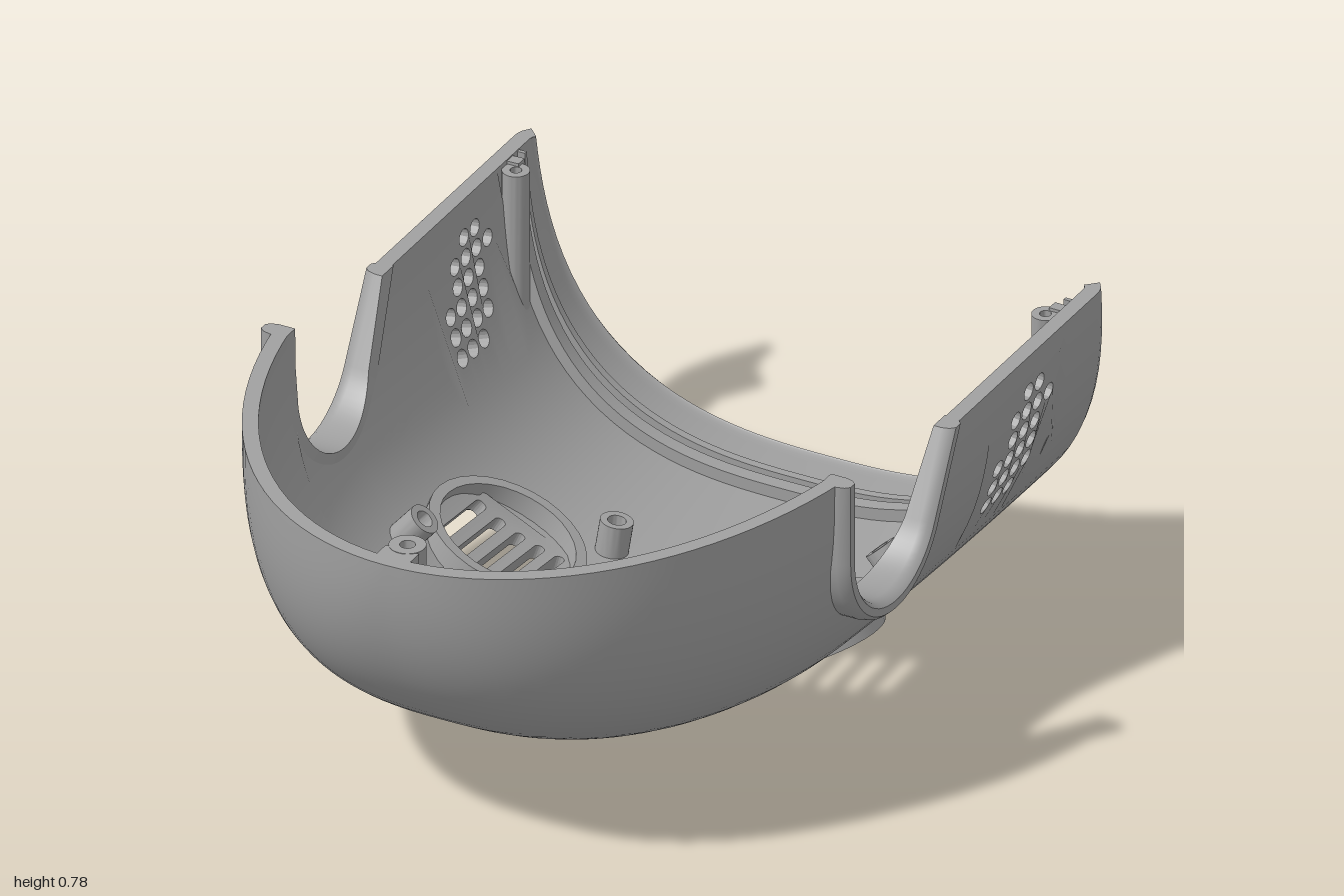
import * as THREE from 'three';
import { mergeGeometries, toCreasedNormals } from 'three/addons/utils/BufferGeometryUtils.js';

const V3 = (x, y, z) => new THREE.Vector3(x, y, z);
const TOP = 0.775, REAR_TOP = 0.685, THICK = 0.035, N = 2.7;

// ---- hull surface: s runs back to front, a is the angle from keel to rim ----
const keel = s => s < 0 ? 0.047 * Math.max(0, 1 + s) ** 2.4 : 0.047 + 0.13 * s + 0.1 * s * s + 0.0715 * s ** 3;
function hull(s, a) {
  const q = Math.min(0.97, Math.max(0, (-s - 0.95) / 0.055));
  const fillet = 0.03 * (1 - Math.sqrt(1 - q * q));
  const w = (s < 0 ? 0.7 : 0.7 * Math.cos(s)) - fillet;
  const k = keel(s) + fillet;
  const sn = Math.sin(a), cs = Math.cos(a);
  const r = (Math.abs(sn) ** N + Math.abs(cs) ** N) ** (-1 / N);
  const y = TOP - (TOP - k) * r * cs;
  const tilt = 0.139 * y * THREE.MathUtils.smoothstep(-s, 0.75, 1);
  return V3(w * r * sn, y, (s < 0 ? s : Math.sin(s)) + tilt);
}
function normal(s, a) {
  s = Math.min(1.55, Math.max(-0.998, s));
  const e = 0.001;
  const ds = hull(s + e, a).sub(hull(s - e, a));
  return hull(s, a + e).sub(hull(s, a - e)).cross(ds).normalize();
}
const at = (s, a, depth) => hull(s, a).addScaledVector(normal(s, a), -depth);
// angle at which the section reaches a given x or y
function solve(s, axis, target) {
  if (axis === 'y' && target >= TOP) return Math.PI / 2;
  let lo = 0, hi = Math.PI / 2;
  for (let i = 0; i < 40; i++) {
    const m = (lo + hi) / 2;
    if (hull(s, m)[axis] < target) lo = m; else hi = m;
  }
  return lo;
}
const stationOf = z => z < 0 ? z : Math.asin(Math.min(1, z));

// height of the upper edge, with the side cutout
function edgeY(s) {
  const z = s < 0 ? s : Math.sin(s);
  if (z > 0.23505) return TOP;
  if (z > -0.134) return 0.585 - Math.sqrt(Math.max(0, 0.195 ** 2 - (z - 0.04) ** 2));
  return Math.min(REAR_TOP, 0.495 + (-0.134 - z) / 0.517);
}

// ---- geometry helpers ----
function build(points, normals, index) {
  const g = new THREE.BufferGeometry().setFromPoints(points);
  if (normals) g.setAttribute('normal', new THREE.Float32BufferAttribute(normals.flatMap(n => n.toArray()), 3));
  g.setIndex(index);
  const flat = g.toNonIndexed();
  if (!normals) flat.computeVertexNormals();
  return flat;
}
function mirrored(geometry) {
  const g = (geometry.index ? geometry.toNonIndexed() : geometry.clone()).scale(-1, 1, 1);
  for (const name of ['position', 'normal']) {
    const arr = g.attributes[name].array;
    for (let i = 0; i < arr.length; i += 9)
      for (let c = 0; c < 3; c++) [arr[i + 3 + c], arr[i + 6 + c]] = [arr[i + 6 + c], arr[i + 3 + c]];
  }
  return g;
}
// skin over a row of cross-sections, capped at both ends
function loft(rings) {
  const n = rings[0].length, index = [];
  for (let k = 0; k < rings.length - 1; k++) for (let i = 0; i < n; i++) {
    const a = k * n + i, b = k * n + (i + 1) % n;
    index.push(a, a + n, b, b, a + n, b + n);
  }
  const last = (rings.length - 1) * n;
  for (let i = 1; i < n - 1; i++) index.push(0, i, i + 1, last, last + i + 1, last + i);
  return toCreasedNormals(build(rings.flat(), null, index), 0.6);
}
// thickness wall along a line of [a, s] points
function wall(line, closed, level) {
  const pts = [], index = [], n = line.length;
  for (const [a, s] of line) {
    const inner = at(s, a, THICK);
    if (level) inner.y = hull(s, a).y;
    pts.push(hull(s, a), inner);
  }
  for (let i = 0; i < (closed ? n : n - 1); i++) {
    const p = 2 * i, q = 2 * ((i + 1) % n);
    index.push(p, q, p + 1, q, q + 1, p + 1);
  }
  return build(pts, null, index);
}

// ---- shell half with vents ----
const S = [];
for (let k = 0; k <= 61; k++) S.push(-1 + 0.02 * k);
S.push(Math.asin(0.235));
for (let k = 0, s0 = Math.asin(0.2351); k <= 24; k++) S.push(s0 + (Math.PI / 2 - s0) * k / 24);
const LOW = 18, ROWS = 28;
const EDGE = S.map(s => solve(s, 'y', edgeY(s)));
const angle = (i, j) => j <= LOW ? 0.05 * j : 0.9 + (EDGE[i] - 0.9) * (j - LOW) / (ROWS - LOW);

function ventHoles() {
  const side = [], floor = [];
  // dotted side vent: columns of holes in each row, bottom to top
  [[0, 1, 2], [0, 1, 2, 3], [0, 1, 2, 3], [1, 2, 3], [1, 2, 3, 4], [2, 3]].forEach((cols, row) => cols.forEach(c => {
    side.push(Array.from({ length: 16 }, (_, k) => {
      const t = k * Math.PI / 8, s = -0.47 - 0.048 * c + 0.02 * Math.sin(t);
      return [solve(s, 'y', 0.352 + 0.0485 * row + 0.02 * Math.cos(t)), s];
    }));
  }));
  // floor grille: five round-ended slots
  for (let c = 0; c < 5; c++) floor.push(Array.from({ length: 18 }, (_, k) => {
    const end = k < 9 ? 1 : -1, t = (k % 9) * Math.PI / 8 + (k < 9 ? -Math.PI / 2 : Math.PI / 2);
    const s = -0.17 + end * 0.084 + 0.012 * Math.cos(t);
    return [solve(s, 'x', 0.272 + 0.05 * c - 0.012 * Math.sin(t)), s];
  }).reverse());
  for (const hole of floor) if (THREE.ShapeUtils.area(hole.map(p => new THREE.Vector2(...p))) < 0) hole.reverse();
  return { side, floor };
}

function shellHalf() {
  const { side, floor } = ventHoles(), parts = [];
  const patches = [{ i0: 13, i1: 30, j0: LOW, j1: ROWS, holes: side }, { i0: 35, i1: 48, j0: 6, j1: 15, holes: floor }];
  // one skin from [a, s] points and triangles, at the outer or inner depth
  const skin = (pts, tris, inside) => {
    const p = pts.map(([a, s]) => {
      const v = at(s, a, inside ? THICK : 0);
      if (inside) v.y = Math.min(v.y, edgeY(s));
      return v;
    });
    const n = pts.map(([a, s]) => normal(s, a).multiplyScalar(inside ? -1 : 1));
    parts.push(build(p, n, inside ? tris.slice().reverse() : tris));
  };
  const pts = [], tris = [], C = ROWS + 1;
  S.forEach((s, i) => { for (let j = 0; j <= ROWS; j++) pts.push([angle(i, j), s]); });
  for (let i = 0; i < S.length - 1; i++) for (let j = 0; j < ROWS; j++) {
    if (patches.some(p => i >= p.i0 && i < p.i1 && j >= p.j0 && j < p.j1)) continue;
    const a = i * C + j;
    tris.push(a, a + 1, a + C, a + 1, a + C + 1, a + C);
  }
  for (const inside of [false, true]) skin(pts, tris, inside);
  for (const { i0, i1, j0, j1, holes } of patches) {
    const border = [];
    for (let j = j0; j < j1; j++) border.push([angle(i0, j), S[i0]]);
    for (let i = i0; i < i1; i++) border.push([angle(i, j1), S[i]]);
    for (let j = j1; j > j0; j--) border.push([angle(i1, j), S[i1]]);
    for (let i = i1; i > i0; i--) border.push([angle(i, j0), S[i]]);
    const vec = list => list.map(p => new THREE.Vector2(...p));
    const shape = new THREE.Shape(vec(border));
    shape.holes = holes.map(h => new THREE.Path(vec(h)));
    const g = new THREE.ShapeGeometry(shape, 1), pos = g.attributes.position;
    const flat = Array.from({ length: pos.count }, (_, k) => [pos.getX(k), pos.getY(k)]);
    for (const inside of [false, true]) skin(flat, Array.from(g.index.array), inside);
    for (const h of holes) parts.push(wall(h, true));
  }
  parts.push(wall(S.map((s, i) => [EDGE[i], s]).reverse(), false, true));
  parts.push(wall(Array.from({ length: C }, (_, j) => [angle(0, ROWS - j), -1]), false));
  return mergeGeometries(parts);
}

// raised band around the side cutout
function cutoutBand() {
  const path = [[0.235, TOP, 1, 0], [0.235, 0.68, 1, 0]];
  for (let k = 0; k <= 28; k++) {
    const t = -2.664 * k / 28, c = Math.cos(t), n = Math.sin(t);
    path.push([0.04 + 0.195 * c, 0.585 + 0.195 * n, c, n]);
  }
  path.push([-0.232, REAR_TOP, -1.12, 0]);
  return loft(path.map(([z, y, nz, ny]) => {
    const s = stationOf(z), xin = hull(s, solve(s, 'y', y)).x - 0.038;
    return [[1, xin], [1, 0.68], [0.8, 0.697], [0.4, 0.707], [-0.4, 0.707], [-0.8, 0.697], [-1, 0.68], [-1, xin]]
      .map(([o, x]) => V3(x, y + 0.0225 * o * ny, z + 0.0225 * o * nz));
  }));
}

// rib across the inside near the open back
function rib(s0, s1, height) {
  return loft(Array.from({ length: 33 }, (_, k) => {
    const a = solve(s0, 'y', REAR_TOP - 0.004) * k / 32, d = THICK + height;
    return [at(s1, a, THICK - 0.01), at(s1, a, d), at(s0, a, d), at(s0, a, THICK - 0.01)];
  }));
}

const lathe = profile => new THREE.LatheGeometry(profile.map(p => new THREE.Vector2(...p)), 32);
const socket = (R, r, h) => lathe([[R, 0], [R, h], [r, h], [r, h - 0.04], [0, h - 0.04]]);

// upright screw post whose foot follows the shell
function post(x, z, R, top) {
  const g = socket(R, R * 0.42, 0.2).translate(x, top - 0.2, z), p = g.attributes.position;
  for (let i = 0; i < p.count; i++) if (p.getY(i) < top - 0.19) {
    const s = stationOf(p.getZ(i));
    p.setY(i, Math.min(top - 0.1, hull(s, solve(s, 'x', Math.abs(p.getX(i)))).y + 0.015));
  }
  return toCreasedNormals(g, 0.6);
}

// turn a part to stand on the inner floor at x, z
function onFloor(geometry, x, z) {
  const s = stationOf(z), a = solve(s, 'x', Math.abs(x));
  const n = normal(s, a).negate(), p = at(s, a, THICK);
  if (x < 0) { n.x *= -1; p.x *= -1; }
  geometry.applyQuaternion(new THREE.Quaternion().setFromUnitVectors(V3(0, 1, 0), n)).translate(p.x, p.y, p.z);
  return toCreasedNormals(geometry, 0.6);
}

export function createModel() {
  const model = new THREE.Group();
  const grey = new THREE.MeshStandardMaterial({ color: 0xa0a0a0, side: THREE.DoubleSide });
  grey.name = 'plain grey';
  const add = (name, geometry) => {
    const mesh = new THREE.Mesh(geometry, grey);
    mesh.name = name;
    model.add(mesh);
  };
  const pair = (name, geometry) => {
    add(name + 'Left', geometry);
    add(name + 'Right', mirrored(geometry));
  };

  pair('shell', shellHalf());
  pair('cutoutBand', cutoutBand());
  pair('rearRib', rib(-0.855, -0.835, 0.018));
  pair('frontRib', rib(-0.8, -0.765, 0.028));
  pair('rearPost', post(0.635, -0.75, 0.03, REAR_TOP - 0.01));
  pair('grilleRing', onFloor(lathe([[0.18, -0.025], [0.18, 0.05], [0.155, 0.05], [0.155, -0.025]]), 0.375, -0.17));

  // front post and the web tying it to the wall
  add('frontPost', post(0, 0.9, 0.04, TOP));
  add('frontPostWeb', new THREE.BoxGeometry(0.08, 0.155, 0.045).translate(0, TOP - 0.0785, 0.9455));

  // small screw sockets beside the grilles
  for (const [x, z] of [[-0.205, -0.37], [0.51, -0.38], [-0.51, 0.025], [0.2, 0.03]])
    add('floorSocket', onFloor(socket(0.036, 0.02, 0.075), x, z));
  return model;
}
